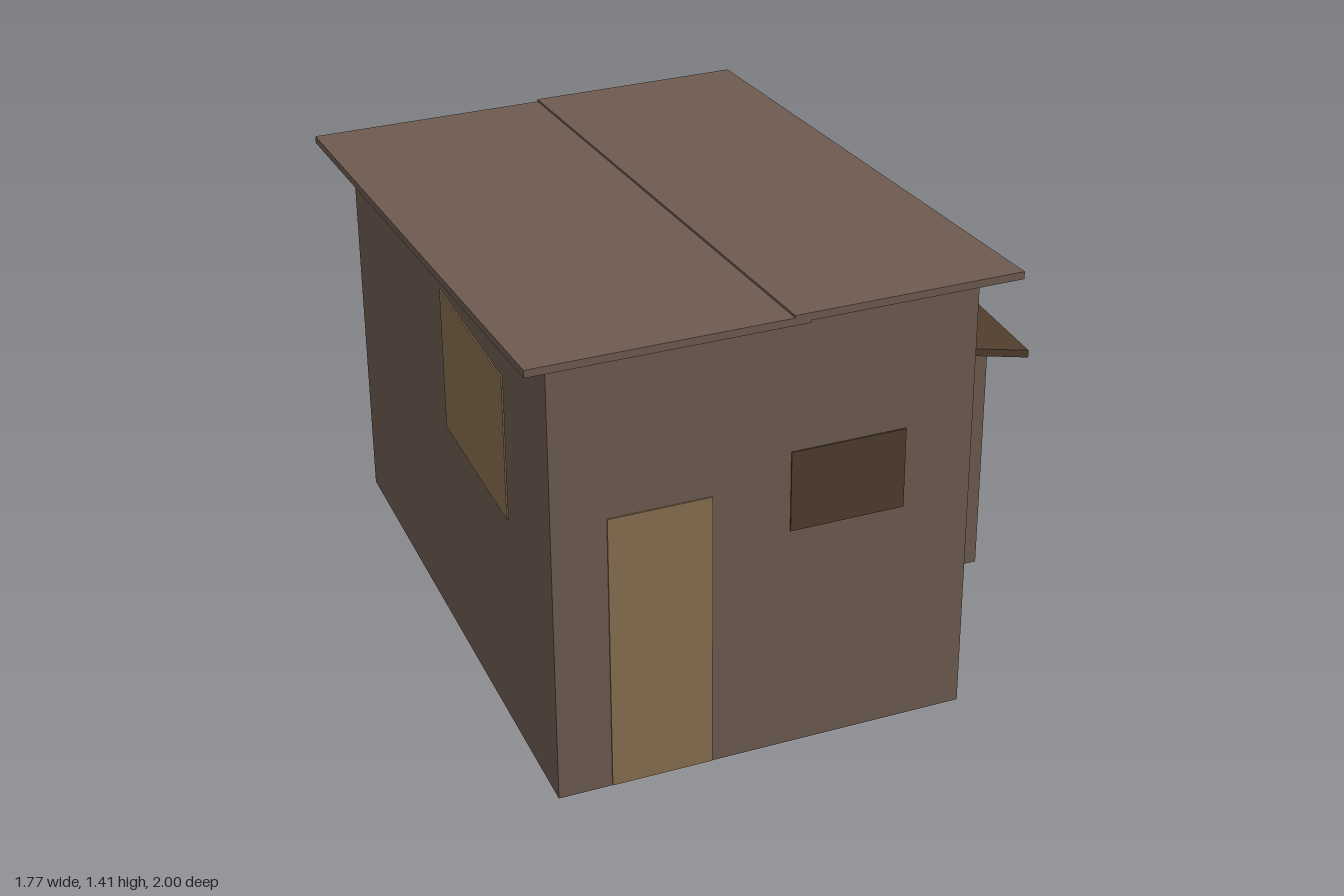
import * as THREE from 'three';

function material(name, color) {
  const m = new THREE.MeshStandardMaterial({ color, side: THREE.DoubleSide });
  m.name = name;
  return m;
}

// Open-bottomed wall shell: vertical quads along a path of [x, z, topHeight] corners
function wallShell(corners, closed) {
  const pos = [];
  const count = closed ? corners.length : corners.length - 1;
  for (let i = 0; i < count; i++) {
    const [ax, az, ah] = corners[i];
    const [bx, bz, bh] = corners[(i + 1) % corners.length];
    pos.push(ax, 0, az, bx, 0, bz, bx, bh, bz);
    pos.push(ax, 0, az, bx, bh, bz, ax, ah, az);
  }
  const g = new THREE.BufferGeometry();
  g.setAttribute('position', new THREE.Float32BufferAttribute(pos, 3));
  g.computeVertexNormals();
  return g;
}

// Roof sheet whose upper surface follows topAt(x, z)
function roofSlab(x0, x1, z0, z1, thickness, topAt) {
  const g = new THREE.BoxGeometry(x1 - x0, thickness, z1 - z0).toNonIndexed();
  g.translate((x0 + x1) / 2, -thickness / 2, (z0 + z1) / 2);
  const p = g.attributes.position;
  for (let i = 0; i < p.count; i++) p.setY(i, p.getY(i) + topAt(p.getX(i), p.getZ(i)));
  g.computeVertexNormals();
  return g;
}

export function createModel() {
  const group = new THREE.Group();
  const timber = material('weathered timber', 0x705d52);
  const darkWood = material('dark wood', 0x4f3d2d);
  const tan = material('tan wood', 0x8a7052);

  const add = (name, geometry, mat) => {
    const mesh = new THREE.Mesh(geometry, mat);
    mesh.name = name;
    group.add(mesh);
    return mesh;
  };

  // Main house, taller at the front
  const houseTop = (z) => 1.284 + 0.1 * z;
  const [L, R, F, B] = [-0.8, 0.41, 0.89, -0.905];
  add('houseWalls', wallShell([
    [L, F, houseTop(F)], [R, F, houseTop(F)], [R, B, houseTop(B)], [L, B, houseTop(B)],
  ], true), timber);

  // Two overlapping roof sheets
  add('leftRoofSheet', roofSlab(-0.89, -0.125, -1, 1, 0.022, (x, z) => 1.305 + 0.1 * z), timber);
  add('rightRoofSheet', roofSlab(-0.17, 0.48, -1, 1, 0.022, (x, z) => 1.312 + 0.1 * z), timber);

  // Lean-to against the left wall, sloping outward
  const leanTop = (x) => 0.88 - 0.232 * (x - R);
  const [O, LF, LB] = [0.793, 0.263, -0.865];
  add('leanToWalls', wallShell([
    [R, LF, leanTop(R) - 0.023], [O, LF, leanTop(O) - 0.023],
    [O, LB, leanTop(O) - 0.023], [R, LB, leanTop(R) - 0.023],
  ], false), timber);
  add('leanToRoof', roofSlab(R, 0.885, -0.93, 0.347, 0.024, leanTop), darkWood);

  // Doors and windows as thin plates on the walls
  const frontPlate = (name, x0, x1, y0, y1, z, mat) =>
    add(name, new THREE.BoxGeometry(x1 - x0, y1 - y0, 0.004), mat)
      .position.set((x0 + x1) / 2, (y0 + y1) / 2, z + 0.003);
  frontPlate('houseDoor', -0.645, -0.35, 0.003, 0.86, F, tan);
  frontPlate('frontWindow', -0.125, 0.21, 0.7, 0.945, F, darkWood);
  frontPlate('leanToDoor', 0.5, 0.705, 0.003, 0.632, LF, darkWood);
  add('sideWindow', new THREE.BoxGeometry(0.004, 0.44, 0.545), tan)
    .position.set(L - 0.003, 0.91, 0.265);

  return group;
}
